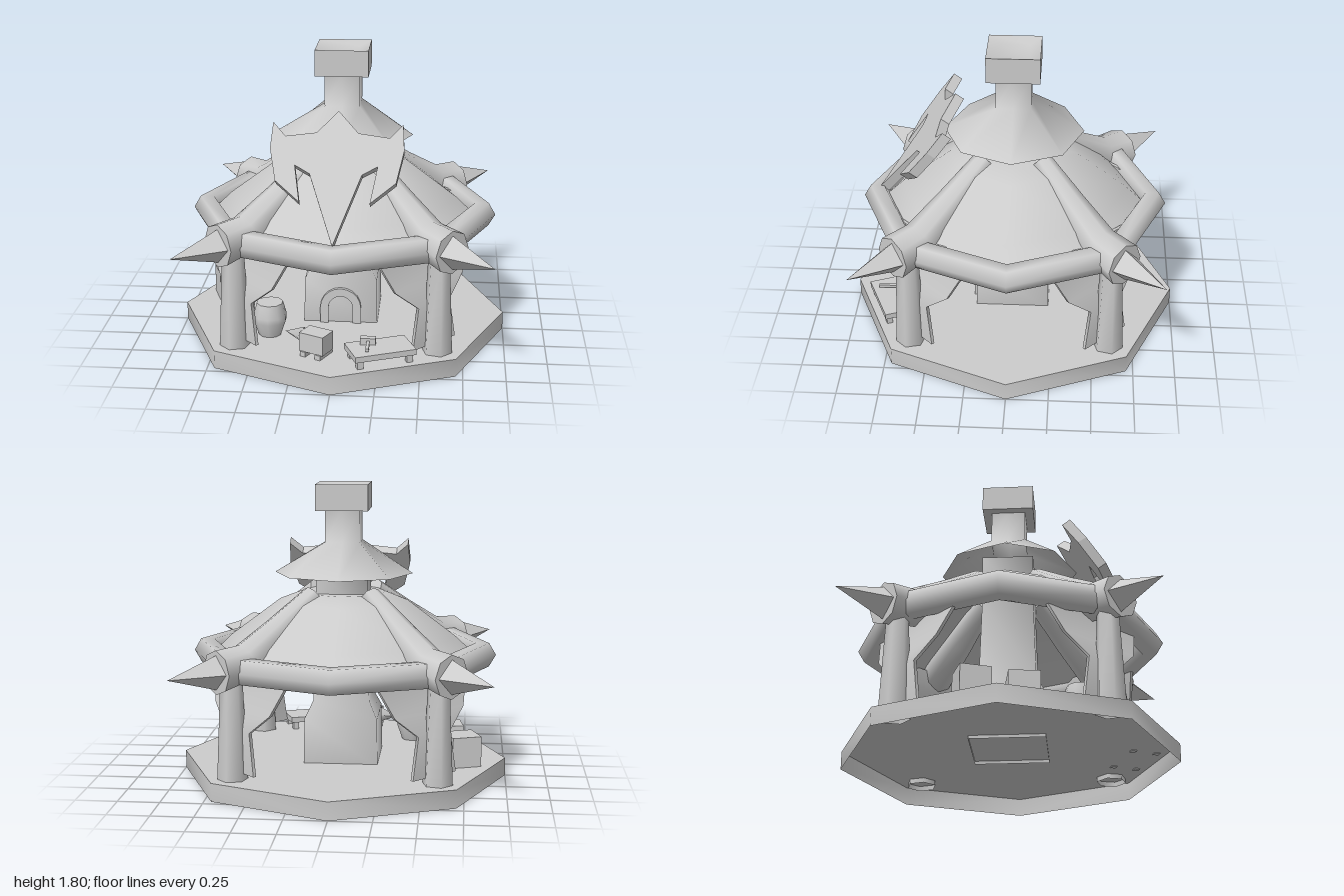
import * as THREE from 'three';
import { toCreasedNormals } from 'three/addons/utils/BufferGeometryUtils.js';

const grey = new THREE.MeshStandardMaterial({ color: 0xcccccc, side: THREE.DoubleSide });

function add(parent, name, geo, x = 0, y = 0, z = 0, ry = 0) {
  const m = new THREE.Mesh(geo, grey);
  m.name = name;
  m.position.set(x, y, z);
  m.rotation.y = ry;
  parent.add(m);
  return m;
}

const creased = (geo, angle = 0.9) => toCreasedNormals(geo, angle);

// Lathe from [radius, y] pairs
const lathe = (pts, sides, angle = 0.9) =>
  creased(new THREE.LatheGeometry(pts.map(([r, y]) => new THREE.Vector2(r, y)), sides), angle);

// Square-section lathe: pairs are [half width, y], sides face the axes
function square(pts, angle) {
  const geo = new THREE.LatheGeometry(
    pts.map(([h, y]) => new THREE.Vector2(h * Math.SQRT2, y)), 4, Math.PI / 4);
  return creased(geo, angle);
}

// Reshape a unit-high geometry row by row (row 0 at the top)
function mold(geo, rows, rule, angle = 1.1) {
  const p = geo.attributes.position;
  for (let i = 0; i < p.count; i++) {
    const k = Math.round((0.5 - p.getY(i)) * (rows.length - 1));
    p.setXYZ(i, ...rule(rows[k], p.getX(i), p.getZ(i)));
  }
  return creased(geo, angle);
}

// Tapered bent roof beam running along local +x; rows are [x, y, radius, slope angle]
function beamGeometry() {
  const rows = [
    [0.24, 1.135, 0.065, 0.63], [0.50, 0.95, 0.092, 0.65],
    [0.74, 0.79, 0.116, 0.4], [0.95, 0.755, 0.13, 0]];
  return mold(new THREE.CylinderGeometry(1, 1, 1, 8, 3), rows, ([x, y, r, a], u, w) =>
    [x + u * r * Math.sin(a), y + u * r * Math.cos(a), w * r]);
}

// Flared panel behind each post; rows are [x, y, half width]
function panelGeometry() {
  const rows = [[0.70, 0.80, 0.36], [0.71, 0.68, 0.34], [0.765, 0.52, 0.27],
    [0.805, 0.40, 0.125], [0.81, 0.15, 0.17]];
  return mold(new THREE.BoxGeometry(0.02, 1, 2, 1, 4, 1), rows, ([x, y, h], u, w) =>
    [x + u, y, w * h]);
}

// Eight-sided hood blending into a square neck; rows are [y, radius on axes, radius on diagonals]
function hoodGeometry() {
  const rows = [[1.645, 0.105, 0.148], [1.447, 0.105, 0.148], [1.253, 0.42, 0.42]];
  return mold(new THREE.CylinderGeometry(1, 1, 1, 8, 2, true), rows, ([y, axis, diag], u, w) => {
    const r = Math.abs(u * w) > 0.1 ? diag : axis;
    return [u * r, y, w * r];
  }, 1.7);
}

function plateGeometry() {
  // Half outline in the plate's own plane, from top centre to bottom centre
  const half = [[0, 0.81], [0.12, 0.675], [0.30, 0.65], [0.375, 0.735], [0.385, 0.575],
    [0.345, 0.38], [0.2, 0.255], [0.237, 0.475], [0.15, 0.425], [0, 0]];
  const mirrored = half.slice(1, -1).reverse().map(([x, y]) => [-x, y]);
  const shape = new THREE.Shape([...half, ...mirrored].map(([x, y]) => new THREE.Vector2(x, y)));
  return new THREE.ExtrudeGeometry(shape, { depth: 0.06, bevelEnabled: false }).translate(0, 0, -0.06);
}

function archGeometry() {
  const s = new THREE.Shape();
  s.moveTo(0.125, 0);
  s.lineTo(0.125, 0.1);
  s.absarc(0, 0.1, 0.125, 0, Math.PI, false);
  s.lineTo(-0.125, 0);
  s.lineTo(-0.075, 0);
  s.lineTo(-0.075, 0.1);
  s.absarc(0, 0.1, 0.075, Math.PI, 0, true);
  s.lineTo(0.075, 0);
  return new THREE.ExtrudeGeometry(s, { depth: 0.08, bevelEnabled: false, curveSegments: 5 });
}

export function createModel() {
  const model = new THREE.Group();
  model.name = 'forgePavilion';

  // Floor, hollow underneath, and eaves ring
  add(model, 'floor', lathe([[1, 0], [1, 0.11], [0, 0.11]], 8));
  add(model, 'eavesRing', new THREE.TorusGeometry(0.848, 0.083, 6, 8).rotateX(Math.PI / 2), 0, 0.757, 0);

  // Roof, chimney and its hood
  add(model, 'roof', lathe([[0.81, 0.75], [0.69, 0.865], [0.39, 1.09], [0.26, 1.14], [0.13, 1.14]], 8));
  add(model, 'chimneyStack', square([[0.225, 0.09], [0.22, 0.385], [0.17, 0.49],
    [0.155, 1.0], [0.155, 1.3]], 1.7));
  add(model, 'chimneyHood', hoodGeometry());
  add(model, 'chimneyCap', square([[0, 1.64], [0.158, 1.64], [0.158, 1.797],
    [0.09, 1.77], [0, 1.765]], 0.9));

  // Four corners: post, panel, beam and spike
  const beam = beamGeometry(), panel = panelGeometry();
  const post = creased(new THREE.CylinderGeometry(0.062, 0.092, 0.68, 6, 1, true), 1.2);
  const spike = creased(new THREE.ConeGeometry(0.11, 0.36, 4).rotateZ(-Math.PI / 2), 0.5);
  for (let k = 0; k < 4; k++) {
    const corner = new THREE.Group();
    corner.name = 'corner' + (k + 1);
    corner.rotation.y = Math.PI / 4 + k * Math.PI / 2;
    add(corner, 'post', post, 0.845, 0.42, 0);
    add(corner, 'panel', panel);
    add(corner, 'roofBeam', beam);
    add(corner, 'spike', spike, 1.1, 0.755, 0);
    model.add(corner);
  }

  // Horned plate leaning on the front of the roof
  add(model, 'hornedPlate', plateGeometry(), 0, 0.83, 0.825).rotation.x = -0.63;

  // Hearth opening
  add(model, 'hearthArch', archGeometry(), 0, 0.11, 0.165);

  // Crates and pot
  add(model, 'crate', new THREE.BoxGeometry(0.18, 0.185, 0.18), -0.735, 0.2025, -0.155, 0.35);
  add(model, 'crate', new THREE.BoxGeometry(0.18, 0.185, 0.18), -0.64, 0.2025, 0.12, 0.15);
  add(model, 'pot', lathe([[0, 0.11], [0.068, 0.11], [0.1, 0.2], [0.102, 0.235], [0.08, 0.315],
    [0, 0.315]], 10), -0.41, 0, 0.43);

  // Anvil
  const anvil = new THREE.Group();
  anvil.name = 'anvil';
  anvil.position.set(-0.105, 0.11, 0.7);
  anvil.rotation.y = -0.45;
  add(anvil, 'anvilBody', new THREE.BoxGeometry(0.16, 0.115, 0.12), 0, 0.085, 0);
  for (const x of [-0.05, 0.05]) add(anvil, 'anvilFoot', new THREE.BoxGeometry(0.035, 0.03, 0.14), x, 0.015, 0);
  add(anvil, 'anvilHorn', new THREE.ConeGeometry(0.055, 0.13, 4).rotateZ(Math.PI / 2), -0.145, 0.1, 0);
  model.add(anvil);

  // Work table with a hammer
  const table = new THREE.Group();
  table.name = 'workTable';
  table.position.set(0.27, 0.11, 0.74);
  table.rotation.y = Math.PI / 8;
  add(table, 'tableTop', new THREE.BoxGeometry(0.37, 0.035, 0.21), 0, 0.065, 0);
  for (const x of [-0.15, 0.15]) for (const z of [-0.075, 0.075])
    add(table, 'tableLeg', new THREE.BoxGeometry(0.035, 0.06, 0.035), x, 0.025, z);
  add(table, 'hammerHandle', new THREE.BoxGeometry(0.018, 0.018, 0.12), -0.08, 0.1, 0.01, -0.39);
  add(table, 'hammerHead', new THREE.BoxGeometry(0.09, 0.04, 0.04), -0.055, 0.1025, -0.055, -0.39);
  model.add(table);

  return model;
}
